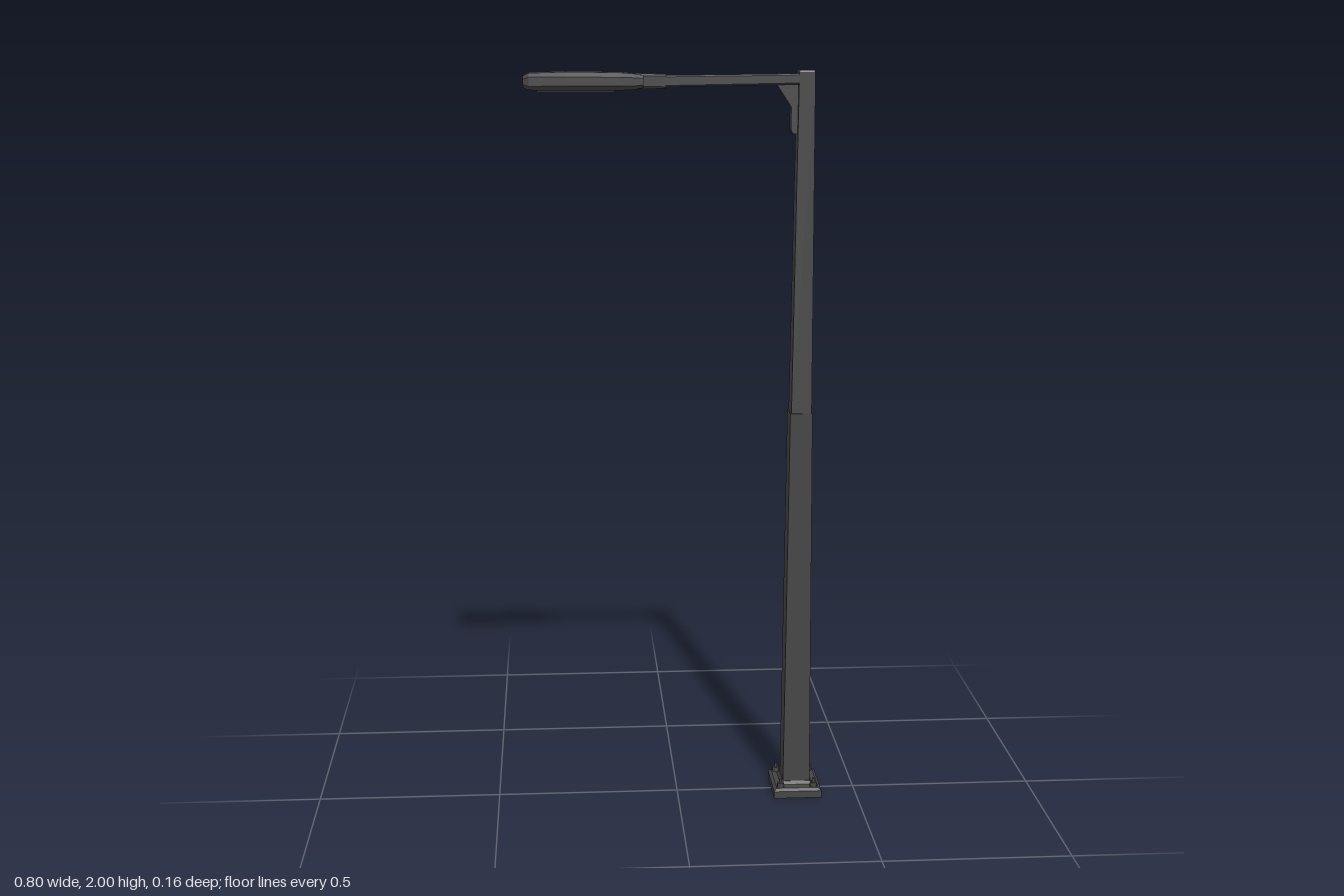
import * as THREE from 'three';

const darkMetal = new THREE.MeshStandardMaterial({ color: 0x444444 });
darkMetal.name = 'darkMetal';

// Joins rings of [x, y, z] points into a closed flat-faced solid.
// Rings advance along an axis and run counter-clockwise about it.
function loft(rings) {
  const out = [];
  const tri = (...p) => p.forEach(v => out.push(...v));
  const n = rings[0].length;
  for (let i = 0; i < rings.length - 1; i++) {
    for (let j = 0; j < n; j++) {
      const k = (j + 1) % n, a = rings[i], b = rings[i + 1];
      tri(a[j], a[k], b[k]);
      tri(a[j], b[k], b[j]);
    }
  }
  const first = rings[0], last = rings[rings.length - 1];
  for (let j = 1; j < n - 1; j++) {
    tri(first[0], first[j + 1], first[j]);
    tri(last[0], last[j], last[j + 1]);
  }
  const g = new THREE.BufferGeometry();
  g.setAttribute('position', new THREE.Float32BufferAttribute(out, 3));
  g.computeVertexNormals();
  return g;
}

// Rectangular ring lying flat, for solids that rise along y
const flatRing = (y, x0, x1, hz) => [[x0, y, -hz], [x0, y, hz], [x1, y, hz], [x1, y, -hz]];

// Chamfered upright ring, for solids that run along x
const uprightRing = (x, y0, y1, hz, c) => [
  [x, y1, -hz + c], [x, y1, hz - c], [x, y1 - c, hz], [x, y0 + c, hz],
  [x, y0, hz - c], [x, y0, -hz + c], [x, y0 + c, -hz], [x, y1 - c, -hz],
];

export function createModel() {
  const model = new THREE.Group();
  model.name = 'streetLamp';
  const add = (name, geometry, x = 0, y = 0, z = 0) => {
    const mesh = new THREE.Mesh(geometry, darkMetal);
    mesh.name = name;
    mesh.position.set(x, y, z);
    model.add(mesh);
    return mesh;
  };
  const px = 0.333;

  // Foot plate with a bevelled upper edge and a collar
  add('basePlate', loft([
    flatRing(0, 0.267, 0.4, 0.078),
    flatRing(0.02, 0.267, 0.4, 0.078),
    flatRing(0.027, 0.275, 0.392, 0.07),
  ]));
  add('baseCollar', loft([
    flatRing(0.026, 0.288, 0.378, 0.045),
    flatRing(0.036, 0.294, 0.372, 0.04),
  ]));

  // Anchor bolts at the four corners
  for (const sx of [-1, 1]) {
    for (const sz of [-1, 1]) {
      add('anchorNut', new THREE.CylinderGeometry(0.01, 0.011, 0.014, 6).toNonIndexed(),
        px + sx * 0.046, 0.033, sz * 0.06);
      add('anchorBolt', new THREE.CylinderGeometry(0.004, 0.005, 0.012, 6),
        px + sx * 0.046, 0.045, sz * 0.06);
    }
  }

  // Tapered square pole in two sections, the upper slotted into the lower
  add('lowerPole', loft([
    flatRing(0.026, 0.296, 0.371, 0.039),
    flatRing(1.09, 0.304, 0.364, 0.035),
  ]));
  add('upperPole', loft([
    flatRing(1.08, 0.307, 0.362, 0.032),
    flatRing(1.995, 0.317, 0.359, 0.027),
    flatRing(2, 0.32, 0.356, 0.024),
  ]));

  // Horizontal arm
  add('arm', loft([
    uprightRing(-0.04, 1.957, 1.987, 0.024, 0.004),
    uprightRing(0.32, 1.963, 1.991, 0.027, 0.004),
  ]));

  // Gusset under the arm with a foot running down the pole
  const outline = new THREE.Shape([
    [0.25, 1.968], [0.26, 1.962], [0.298, 1.905], [0.298, 1.845],
    [0.304, 1.835], [0.32, 1.835], [0.32, 1.968],
  ].map(([x, y]) => new THREE.Vector2(x, y)));
  add('armBracket', new THREE.ExtrudeGeometry(outline, { depth: 0.032, bevelEnabled: false }), 0, 0, -0.016);

  // Neck joining the arm to the lamp head
  add('headNeck', loft([
    uprightRing(-0.11, 1.953, 1.993, 0.038, 0.006),
    uprightRing(-0.085, 1.953, 1.992, 0.036, 0.006),
    uprightRing(-0.03, 1.953, 1.99, 0.027, 0.005),
  ]));

  // Lamp head, slightly domed on top
  add('lampHead', loft([
    uprightRing(-0.4, 1.957, 1.987, 0.054, 0.008),
    uprightRing(-0.385, 1.951, 1.994, 0.06, 0.01),
    uprightRing(-0.29, 1.95, 1.997, 0.062, 0.012),
    uprightRing(-0.15, 1.95, 1.995, 0.061, 0.012),
    uprightRing(-0.115, 1.951, 1.992, 0.056, 0.01),
    uprightRing(-0.09, 1.956, 1.988, 0.053, 0.008),
  ]));
  add('lampLens', new THREE.BoxGeometry(0.2, 0.006, 0.08), -0.265, 1.949, 0);

  return model;
}
